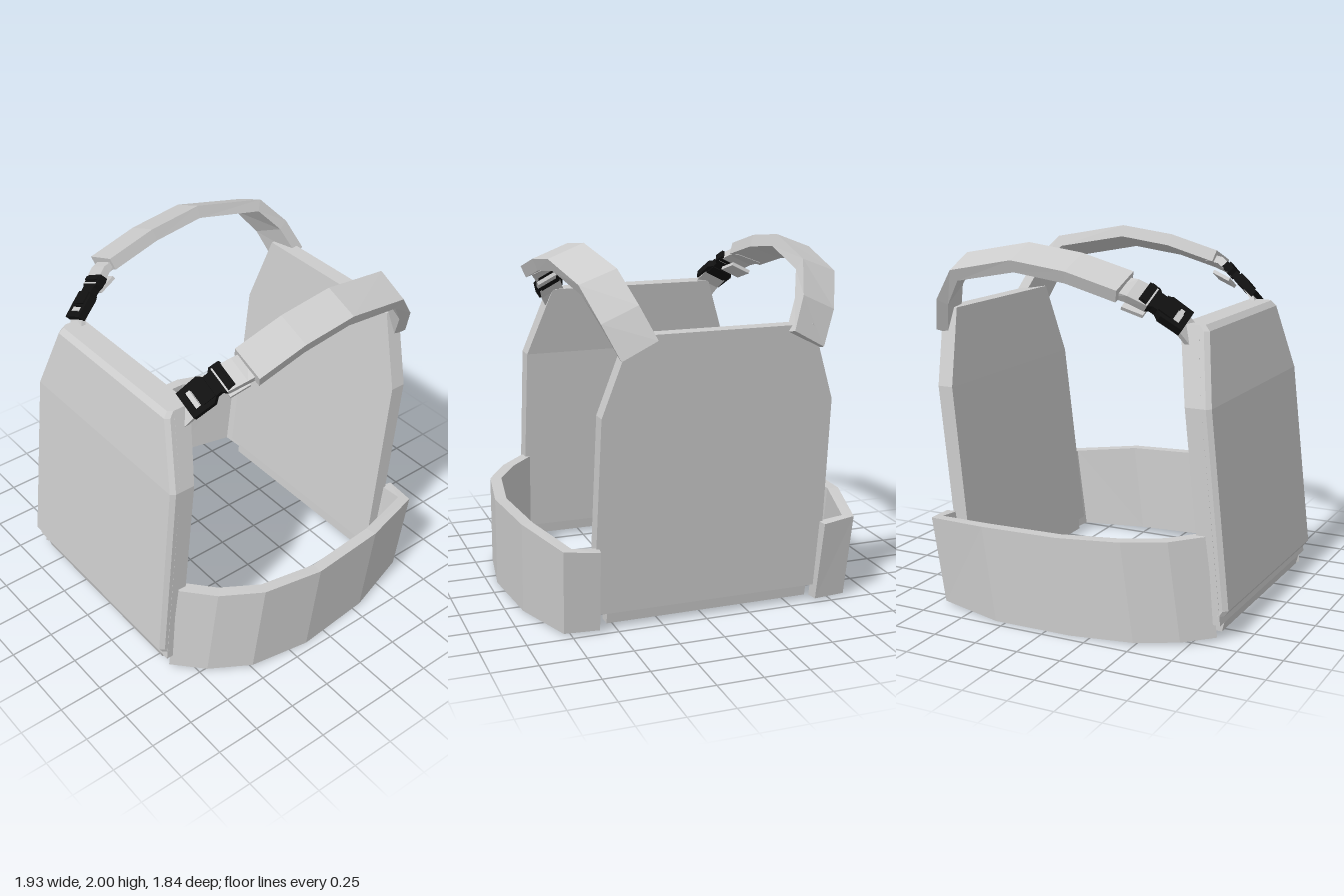
import * as THREE from 'three';

const V = (x, y, z) => new THREE.Vector3(x, y, z);
const CX = -0.03; // symmetry plane of the vest
const grey = new THREE.MeshStandardMaterial({ color: 0xcccccc, flatShading: true });
const black = new THREE.MeshStandardMaterial({ color: 0x111111, flatShading: true });

function mesh(name, geometry, material = grey) {
  const m = new THREE.Mesh(geometry, material);
  m.name = name;
  return m;
}

// Joins convex loops of points into a closed solid, turned so its faces look outward
function loft(loops) {
  const tris = [], n = loops[0].length;
  for (let i = 0; i < loops.length - 1; i++) {
    for (let j = 0; j < n; j++) {
      const k = (j + 1) % n, a = loops[i], b = loops[i + 1];
      tris.push([a[j], a[k], b[k]], [a[j], b[k], b[j]]);
    }
  }
  const first = loops[0], last = loops[loops.length - 1];
  for (let j = 1; j < n - 1; j++) {
    tris.push([first[0], first[j + 1], first[j]], [last[0], last[j], last[j + 1]]);
  }
  const volume = tris.reduce((s, [a, b, c]) => s + a.dot(b.clone().cross(c)), 0);
  const points = tris.flatMap(([a, b, c]) => (volume > 0 ? [a, b, c] : [a, c, b]));
  const g = new THREE.BufferGeometry().setFromPoints(points);
  g.computeVertexNormals();
  return g;
}

// Flat strap along stations [x, y, z, width direction], mirrored by s
function strip(stations, halfWidth, thickness, s) {
  const centres = stations.map(([x, y, z]) => V(CX + s * x, y, z));
  return loft(stations.map(([, , , w], i) => {
    const c = centres[i];
    const t = centres[Math.min(i + 1, centres.length - 1)].clone().sub(centres[Math.max(i - 1, 0)]);
    const wide = V(s * w[0], w[1], w[2]).normalize();
    const up = wide.clone().cross(t).normalize().multiplyScalar(thickness / 2);
    wide.multiplyScalar(halfWidth);
    return [[-1, -1], [1, -1], [1, 1], [-1, 1]].map(([a, b]) =>
      c.clone().addScaledVector(wide, a).addScaledVector(up, b));
  }));
}

// Plate from rows [half width, y, z of one face, z of other face, edge bevel]
function plate(rows) {
  return loft(rows.map(([w, y, z0, z1, bevel = 0]) => {
    const mid = bevel ? z1 - 0.025 : z1;
    return [[-w, z0], [w, z0], [w, mid], [w - bevel, z1], [bevel - w, z1], [-w, mid]]
      .map(([x, z]) => V(CX + x, y, z));
  }));
}

// Side band wrapping from the front plate round to the back plate
function sideBand(s) {
  // half width, x shift, z, top y, bottom y
  const path = [
    [0.655, -0.03, 0.79, 0.56, 0.02], [0.80, -0.02, 0.64, 0.55, 0.015],
    [0.915, -0.005, 0.42, 0.545, 0.01], [0.962, 0, 0.07, 0.53, 0],
    [0.943, -0.022, -0.38, 0.525, 0], [0.83, -0.03, -0.77, 0.49, 0.01],
    [0.64, -0.03, -0.80, 0.475, 0.015],
  ];
  const outer = path.map(([h, off, z]) => V(s * h + off, 0, z));
  return loft(path.map(([, , , top, bottom], i) => {
    const t = outer[Math.min(i + 1, path.length - 1)].clone().sub(outer[Math.max(i - 1, 0)]).normalize();
    const p = outer[i], q = p.clone().add(V(s * t.z, 0, -s * t.x).multiplyScalar(0.065));
    const lean = V(-0.012 * s, 0, 0.07);
    const at = (v, y) => V(v.x, y, v.z);
    return [at(p, top), at(p.clone().add(lean), bottom), at(q.clone().add(lean), bottom), at(q, top)];
  }));
}

// Side-release buckle: waisted plate with a webbing slot, plus raised socket and bar
function buckle(s) {
  const g = new THREE.Group();
  g.name = 'buckle';
  const half = [[0.08, -0.14], [0.085, -0.01], [0.06, 0.02], [0.06, 0.05], [0.08, 0.07], [0.075, 0.13]];
  const outline = [...half, ...half.map(([x, y]) => [-x, y]).reverse()];
  const shape = new THREE.Shape(outline.map(([x, y]) => new THREE.Vector2(x, y)));
  shape.holes.push(new THREE.Path([[-0.05, -0.105], [-0.05, -0.07], [0.05, -0.07], [0.05, -0.105]]
    .map(([x, y]) => new THREE.Vector2(x, y))));
  const body = new THREE.ExtrudeGeometry(shape, { depth: 0.045, bevelEnabled: false });
  body.translate(0, 0, -0.02);
  g.add(mesh('buckleBody', body, black));
  g.add(mesh('buckleSocket', new THREE.BoxGeometry(0.12, 0.075, 0.06).translate(0, -0.02, 0.005), black));
  g.add(mesh('buckleBar', new THREE.BoxGeometry(0.14, 0.022, 0.06).translate(0, 0.105, 0.005), black));
  g.add(mesh('slotWebbing', new THREE.BoxGeometry(0.1, 0.025, 0.03).translate(0, -0.088, 0.008)));
  const x = V(0.89, -0.45 * s, -0.024 * s).normalize();
  const y = V(0.075 * s, 0.16, -0.22).normalize();
  const z = x.clone().cross(y).normalize();
  g.quaternion.setFromRotationMatrix(new THREE.Matrix4().makeBasis(x, y, z));
  g.position.set(CX + s * 0.543, 1.70, 0.495);
  return g;
}

export function createModel() {
  const model = new THREE.Group();
  model.name = 'plateCarrierVest';

  // Front plate: body with a narrower bottom tab, and a bevelled cover panel
  model.add(mesh('frontPlate', plate([
    [0.58, 0.03, 0.80, 0.86], [0.58, 0.09, 0.79, 0.875], [0.655, 0.09, 0.79, 0.88],
    [0.638, 1.22, 0.66, 0.75], [0.495, 1.62, 0.57, 0.67],
  ])));
  model.add(mesh('frontPanel', plate([
    [0.655, 0.14, 0.86, 0.895, 0.02], [0.652, 0.17, 0.86, 0.915, 0.02],
    [0.638, 1.22, 0.74, 0.80, 0.02], [0.505, 1.59, 0.66, 0.727, 0.02], [0.495, 1.62, 0.655, 0.70, 0.02],
  ])));

  // Back plate
  model.add(mesh('backPlate', plate([
    [0.58, 0.03, -0.615, -0.69], [0.58, 0.09, -0.62, -0.70], [0.655, 0.09, -0.62, -0.705],
    [0.638, 1.19, -0.74, -0.83], [0.495, 1.61, -0.79, -0.88],
  ])));

  const bank = [0.93, -0.36, 0], clip = [0.89, -0.45, -0.024];
  for (const s of [1, -1]) {
    const side = s > 0 ? 'left' : 'right';
    model.add(mesh(side + 'SideBand', sideBand(s)));

    // Padded shoulder strap, over the shoulder and down onto the back plate
    const straps = new THREE.Group();
    straps.name = side + 'ShoulderStrap';
    straps.add(mesh('shoulderPad', strip([
      [0.635, 1.81, 0.32, bank], [0.64, 1.89, 0.03, bank], [0.64, 1.93, -0.28, bank],
      [0.595, 1.855, -0.68, [0.93, -0.36, 0.08]], [0.53, 1.70, -0.81, [0.9, -0.42, 0.12]],
      [0.45, 1.53, -0.875, [0.87, -0.48, 0.15]],
    ], 0.105, 0.07, s)));

    // Webbing either side of the buckle, with a loose tail under the strap
    straps.add(mesh('upperWebbing', strip([
      [0.635, 1.81, 0.26, bank], [0.615, 1.79, 0.35, clip], [0.57, 1.74, 0.44, clip],
    ], 0.075, 0.045, s)));
    straps.add(mesh('webbingTail', strip([
      [0.60, 1.73, 0.31, clip], [0.575, 1.69, 0.42, clip],
    ], 0.06, 0.02, s)));
    straps.add(mesh('lowerWebbing', strip([
      [0.535, 1.675, 0.52, clip], [0.50, 1.61, 0.59, clip], [0.46, 1.54, 0.63, clip],
    ], 0.07, 0.025, s)));
    straps.add(buckle(s));
    model.add(straps);
  }
  return model;
}
